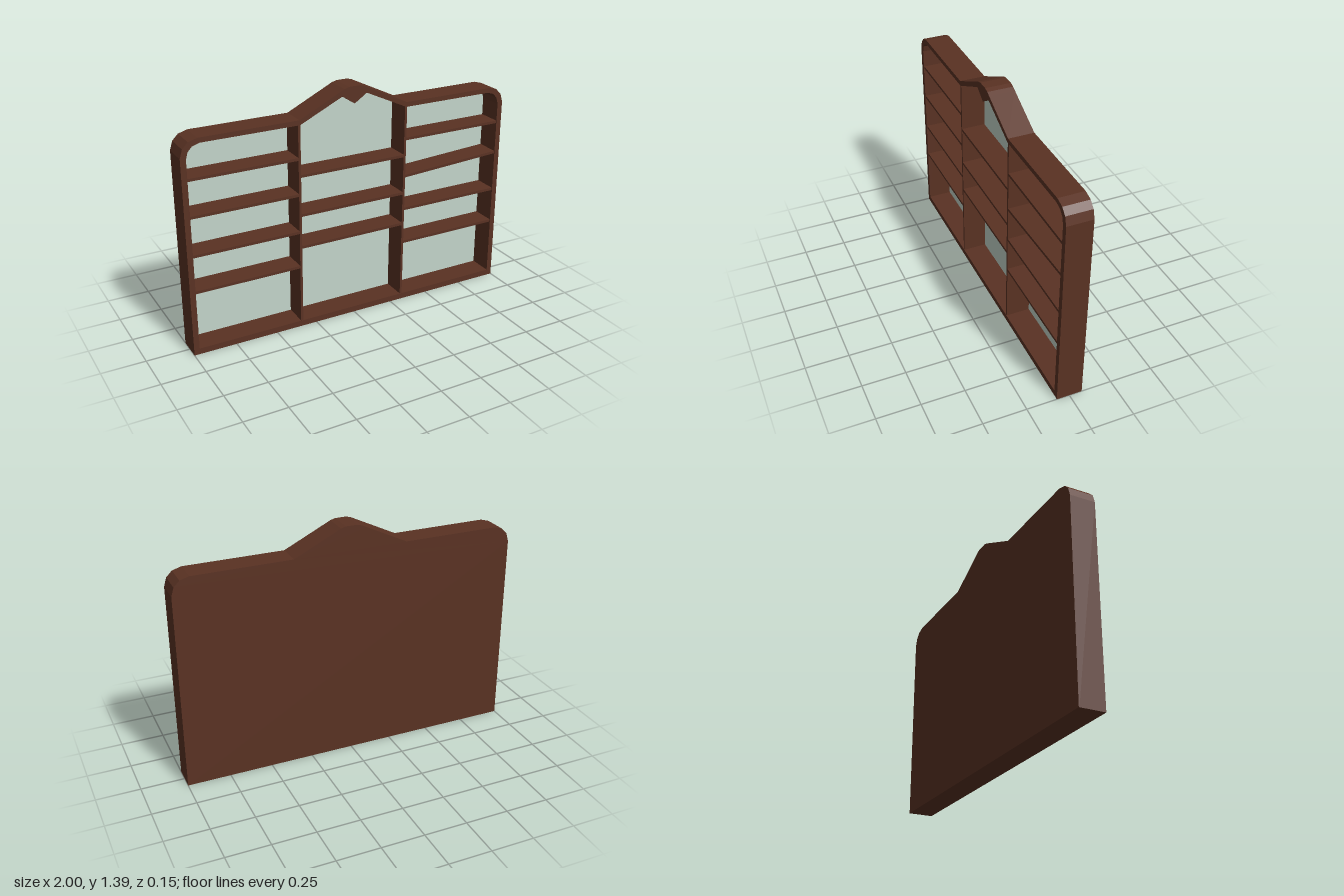
import * as THREE from 'three';

const FRONT = 0.074, BACK = -0.074, PANEL = 0.004;

const wood = new THREE.MeshStandardMaterial({ color: 0x5a3223, flatShading: true });
const pale = new THREE.MeshStandardMaterial({ color: 0xc3d5ca, flatShading: true });

// Right half of each contour, from the bottom up to the middle of the crest
const outerHalf = [[1, 0], [1, 1.15], [0.985, 1.2], [0.952, 1.233], [0.9, 1.248], [0.333, 1.248],
  [0.088, 1.367], [0.062, 1.38], [0.033, 1.388]];
const innerHalf = [[0.968, 0.035], [0.968, 1.14], [0.957, 1.18], [0.932, 1.207], [0.89, 1.22],
  [0.33, 1.22], [0.075, 1.34]];

// Mirrors a half contour; the optional middle point lies on x = 0
function mirrored(half, middle = []) {
  const left = half.map(([x, y]) => [-x, y]).reverse();
  return [...half, ...middle, ...left].map(([x, y]) => new THREE.Vector2(x, y));
}

export function createModel() {
  const group = new THREE.Group();
  const add = (name, geometry, material = wood) => {
    const mesh = new THREE.Mesh(geometry, material);
    mesh.name = name;
    group.add(mesh);
    return mesh;
  };

  const outer = mirrored(outerHalf);
  const inner = mirrored(innerHalf, [[0, 1.29]]);

  // Frame with rounded shoulders, gabled crest and a pointed drop
  const frameShape = new THREE.Shape(outer);
  frameShape.holes.push(new THREE.Path(inner));
  add('frame', new THREE.ExtrudeGeometry(frameShape, { depth: FRONT - BACK - PANEL, bevelEnabled: false }))
    .position.z = BACK + PANEL;

  // Back board and its pale lining
  add('backBoard', new THREE.ExtrudeGeometry(new THREE.Shape(outer), { depth: PANEL, bevelEnabled: false }))
    .position.z = BACK;
  add('backLining', new THREE.ShapeGeometry(new THREE.Shape(inner)), pale)
    .position.z = BACK + PANEL + 0.001;

  // Board running between two points of the front plane
  const depth = FRONT - BACK - PANEL - 0.003;
  function board(name, x0, y0, x1, y1, thickness) {
    const length = Math.hypot(x1 - x0, y1 - y0);
    const mesh = add(name, new THREE.BoxGeometry(length, thickness, depth));
    mesh.position.set((x0 + x1) / 2, (y0 + y1) / 2, BACK + PANEL + depth / 2);
    mesh.rotation.z = Math.atan2(y1 - y0, x1 - x0);
  }

  // Slightly leaning dividers
  board('leftDivider', 0.325, 0.03, 0.331, 1.228, 0.014);
  board('rightDivider', -0.341, 0.03, -0.334, 1.228, 0.014);

  // Shelves: one in the left bay is tilted
  const bays = [
    ['rightShelf', -0.972, -0.337, [[0.38, 0.38], [0.594, 0.594], [0.818, 0.818], [1.028, 1.028]]],
    ['middleShelf', -0.337, 0.328, [[0.5, 0.5], [0.695, 0.695], [0.927, 0.927]]],
    ['leftShelf', 0.328, 0.972, [[0.38, 0.38], [0.594, 0.594], [0.8, 0.836], [1.028, 1.028]]],
  ];
  for (const [name, x0, x1, levels] of bays) {
    levels.forEach(([y0, y1], i) => board(name + (i + 1), x0, y0, x1, y1, 0.016));
  }

  return group;
}
